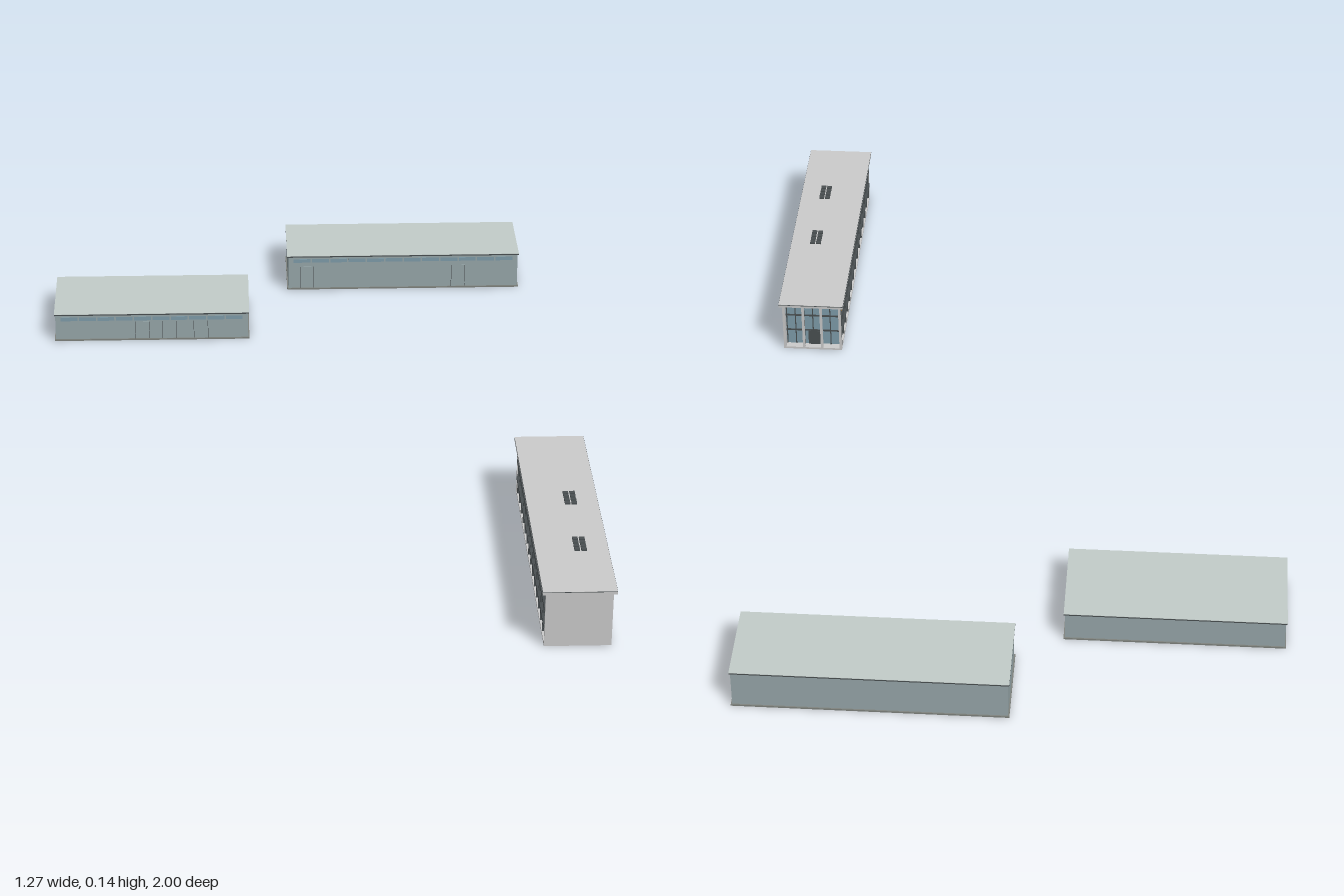
import * as THREE from 'three';

const paint = (color) => new THREE.MeshStandardMaterial({ color });
const grey = paint(0xcccccc);
const cladding = paint(0x98a8ab);
const roofing = paint(0xc3cdca);
const trim = paint(0x4a5052);
const baseDark = paint(0x80847f);
const glass = paint(0x7f9dab);
const orange = paint(0xd9952f);

// box given by its minimum and maximum corners
function block(parent, name, mat, x0, x1, y0, y1, z0, z1) {
  const mesh = new THREE.Mesh(new THREE.BoxGeometry(x1 - x0, y1 - y0, z1 - z0), mat);
  mesh.position.set((x0 + x1) / 2, (y0 + y1) / 2, (z0 + z1) / 2);
  mesh.name = name;
  parent.add(mesh);
  return mesh;
}

// low clad shed with dark base, roof edge, window strip and door frames
function warehouse(name, x0, x1, z0, z1, h, doors, doorTop) {
  const g = new THREE.Group();
  g.name = name;
  const e = 0.003;
  block(g, 'baseSlab', baseDark, x0, x1, 0, 0.004, z0, z1);
  block(g, 'walls', cladding, x0 + e, x1 - e, 0.004, h - 0.004, z0 + e, z1 - e);
  block(g, 'roofEdge', trim, x0, x1, h - 0.004, h - 0.001, z0, z1);
  block(g, 'roof', roofing, x0, x1, h - 0.001, h, z0, z1);

  // high window strip on the front
  const n = Math.round((x1 - x0) / 0.05);
  const step = (x1 - x0 - 0.03) / n;
  for (let i = 0; i < n; i++) {
    const x = x0 + 0.015 + i * step;
    block(g, 'stripWindow', glass, x + 0.002, x + step - 0.002, h - 0.02, h - 0.01, z1 - e, z1 - e + 0.0006);
  }
  // door panels on the front
  for (const x of doors) {
    block(g, 'door', cladding, x - 0.018, x + 0.018, 0.004, doorTop, z1 - e, z1 - e + 0.0006);
    for (const s of [-1, 1]) {
      block(g, 'doorJamb', trim, x + s * 0.018 - 0.0006, x + s * 0.018 + 0.0006, 0.004, doorTop, z1 - e, z1 - e + 0.001);
    }
  }
  return g;
}

function office() {
  const g = new THREE.Group();
  g.name = 'officeBlock';
  const x0 = 0.478, x1 = 0.624, z0 = 0.308, z1 = 0.992, top = 0.132;
  const endZ = z0 + 0.018;

  // shell: closed on the long outer side and the front end
  block(g, 'floorSlab', grey, x0, x1, 0, 0.005, z0, z1);
  block(g, 'outerWall', grey, x1 - 0.006, x1, 0.005, top, z0, z1);
  block(g, 'frontWall', grey, x0, x1 - 0.006, 0.005, top, z1 - 0.006, z1);
  block(g, 'roofSlab', grey, 0.471, 0.631, top, 0.138, 0.3, 1.0);
  block(g, 'roofEdge', trim, 0.4705, 0.6315, 0.138, 0.1395, 0.2995, 1.0);
  block(g, 'roofDeck', grey, 0.471, 0.631, 0.1395, 0.14, 0.3, 1.0);

  // glazed core
  block(g, 'glazing', glass, x0 + 0.006, x1 - 0.006, 0.005, top, endZ, z1 - 0.006);

  // window grid on the long side
  const bays = 14;
  for (let i = 0; i <= bays; i++) {
    const z = endZ + (i / bays) * (z1 - 0.008 - endZ);
    const w = i % 2 ? 0.001 : 0.0025;
    block(g, 'mullion', trim, x0 + 0.001, x0 + 0.007, 0.005, top, z - w, z + w);
  }
  const levels = [0.025, 0.047, 0.07, 0.092, 0.114];
  levels.forEach((y, i) => {
    const main = i % 2 === 1;
    block(g, main ? 'floorLedge' : 'transom', trim, main ? x0 - 0.002 : x0 + 0.002, x0 + 0.007,
      y - (main ? 0.003 : 0.001), y + (main ? 0.003 : 0.001), endZ, z1 - 0.006);
  });
  block(g, 'sidePanel', orange, x0 + 0.002, x0 + 0.0065, 0.097, 0.113, endZ + 0.005, endZ + 0.03);

  // recessed entrance end with columns
  for (const x of [x0 + 0.003, x0 + 0.05, x0 + 0.095]) {
    block(g, 'entranceColumn', grey, x - 0.003, x + 0.003, 0.005, top, z0, z0 + 0.006);
  }
  for (let i = 0; i <= 6; i++) {
    const x = x0 + 0.007 + i * 0.0218;
    block(g, 'endMullion', trim, x - 0.0012, x + 0.0012, 0.005, top, endZ - 0.002, endZ + 0.001);
  }
  for (const y of [0.047, 0.092]) {
    block(g, 'endTransom', trim, x0 + 0.006, x1 - 0.006, y - 0.002, y + 0.002, endZ - 0.002, endZ + 0.001);
  }
  block(g, 'entranceDoor', trim, x0 + 0.055, x0 + 0.085, 0.005, 0.045, endZ - 0.003, endZ);

  // two clusters of roof units
  for (const z of [0.595, 0.8]) {
    for (let i = 0; i < 4; i++) {
      for (const x of [0.562, 0.577]) {
        const zi = z + (i - 1.5) * 0.015;
        block(g, 'roofUnit', trim, x - 0.006, x + 0.006, 0.14, 0.144, zi - 0.0055, zi + 0.0055);
      }
    }
  }
  return g;
}

export function createModel() {
  const model = new THREE.Group();
  model.name = 'buildingSite';
  model.add(
    warehouse('lowWarehouse', -0.635, -0.136, -0.737, -0.511, 0.075, [-0.41, -0.34, -0.26], 0.052),
    warehouse('tallWarehouse', -0.032, 0.58, -1.0, -0.798, 0.097, [0.02, 0.42], 0.065),
    office(),
  );
  return model;
}
